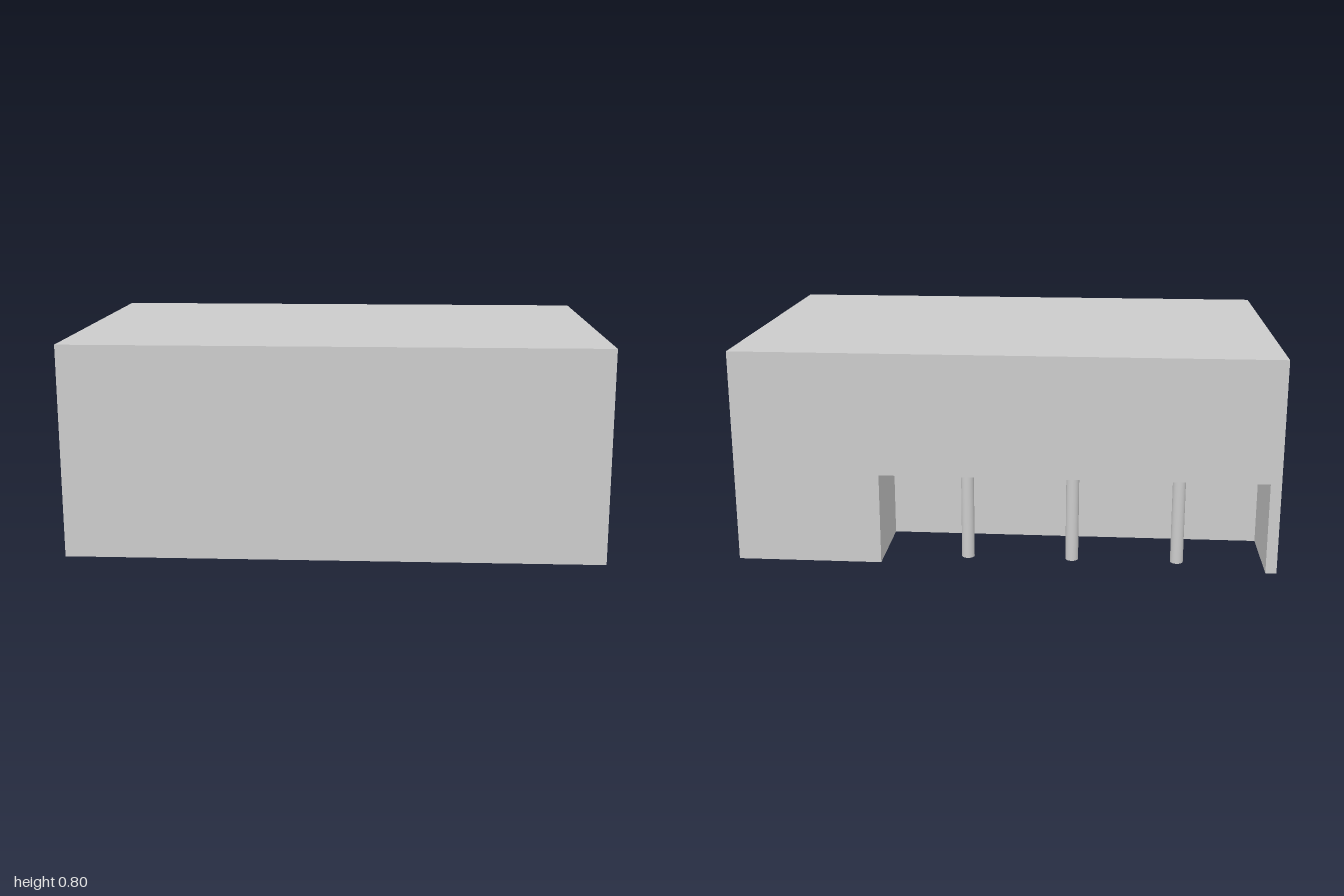
import * as THREE from 'three';
import { mergeGeometries } from 'three/addons/utils/BufferGeometryUtils.js';

const X = 1, H = 0.798, Z = 0.623;                 // half width, height, half depth
const L = 0.46, R = -0.96, N = 0.342, D = -0.303;  // notch: left, right, top, inner wall z

// Flat panel drawn in its own plane, turned and moved into place
function panel(points, rx, ry, x = 0, y = 0, z = 0) {
  const shape = new THREE.Shape(points.map(p => new THREE.Vector2(...p)));
  return new THREE.ShapeGeometry(shape).rotateX(rx).rotateY(ry).translate(x, y, z);
}
const rect = (a, b, c, d) => [[a, b], [c, b], [c, d], [a, d]];

export function createModel() {
  const group = new THREE.Group();
  group.name = 'relayBlock';
  const material = new THREE.MeshStandardMaterial({ color: 0xcccccc });
  const q = Math.PI / 2;

  // Housing: a closed block with a notch open to the back and the underside
  const housing = new THREE.Mesh(mergeGeometries([
    panel(rect(-X, 0, X, H), 0, 0, 0, 0, Z),                       // front
    panel([[-X, 0], [-L, 0], [-L, N], [-R, N], [-R, 0], [X, 0], [X, H], [-X, H]],
      0, Math.PI, 0, 0, -Z),                                       // back
    panel(rect(-Z, 0, Z, H), 0, q, X),                             // left side
    panel(rect(-Z, 0, Z, H), 0, -q, -X),                           // right side
    panel(rect(-X, -Z, X, Z), -q, 0, 0, H),                        // top
    panel([[-X, -Z], [R, -Z], [R, D], [L, D], [L, -Z], [X, -Z], [X, Z], [-X, Z]], q, 0), // underside
    panel(rect(R, -Z, L, D), q, 0, 0, N),                          // notch ceiling
    panel(rect(-L, 0, -R, N), 0, Math.PI, 0, 0, D),                // notch inner wall
    panel(rect(-Z, 0, D, N), 0, -q, L),                            // notch left wall
    panel(rect(-D, 0, Z, N), 0, q, R),                             // notch right wall
  ]), material);
  housing.name = 'housing';
  group.add(housing);

  // Three contact pins hanging from the notch ceiling
  const pinGeometry = new THREE.CylinderGeometry(0.024, 0.024, N, 32);
  for (let i = 0; i < 3; i++) {
    const pin = new THREE.Mesh(pinGeometry, material);
    pin.name = `pin${i + 1}`;
    pin.position.set(0.142 - i * 0.392, N / 2, -Z + 0.089);
    group.add(pin);
  }
  return group;
}
